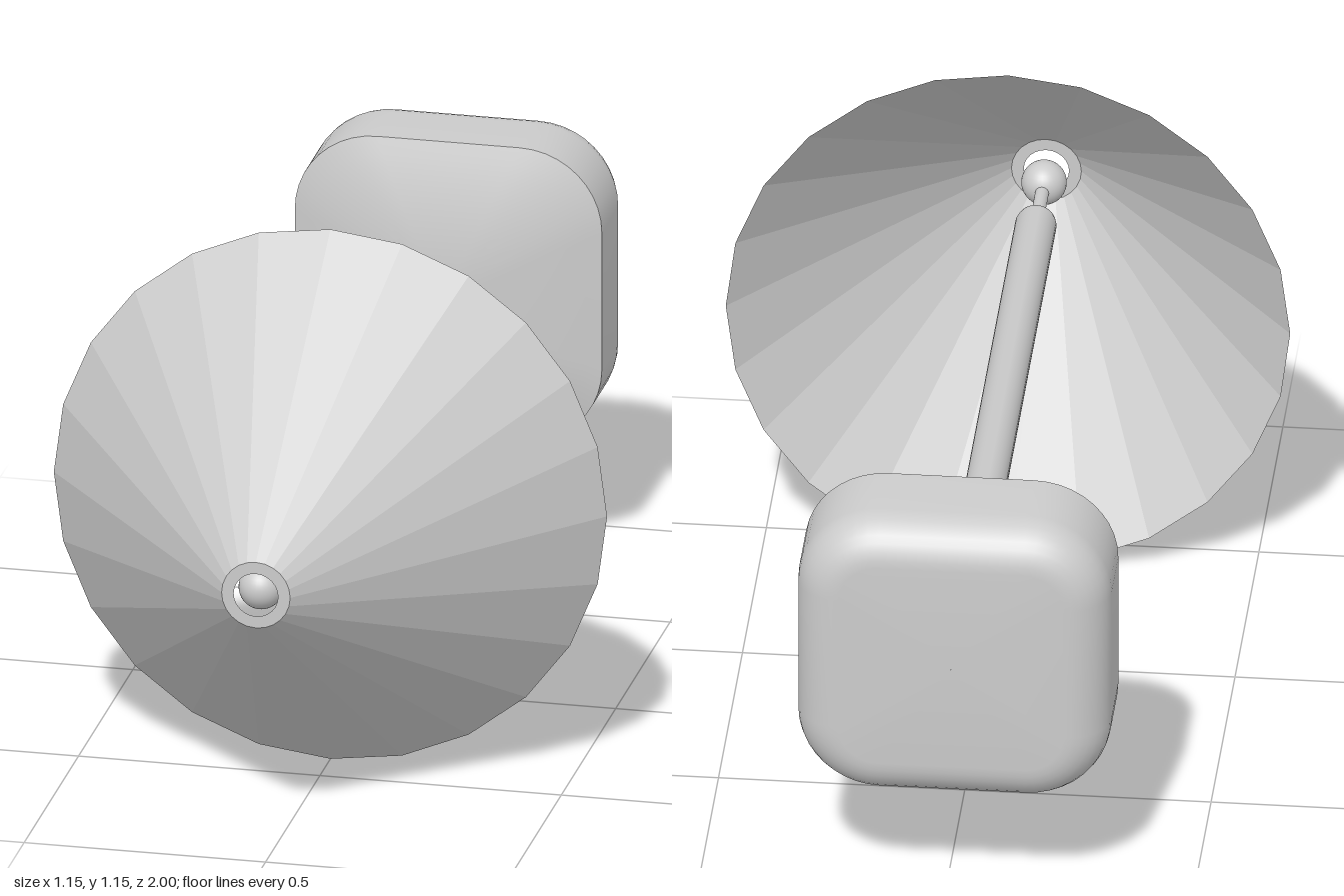
import * as THREE from 'three';
import { toCreasedNormals } from 'three/addons/utils/BufferGeometryUtils.js';

const CX = -0.02, CY = 0.578; // axis of the stem

// Outline of a square with rounded corners, counter-clockwise
function roundedSquare(half, r, steps = 10) {
  const pts = [];
  for (let c = 0; c < 4; c++) {
    const mid = Math.PI / 4 + c * Math.PI / 2;
    const ox = Math.sign(Math.cos(mid)) * (half - r), oy = Math.sign(Math.sin(mid)) * (half - r);
    for (let i = 0; i <= steps; i++) {
      const a = (c + i / steps) * Math.PI / 2;
      pts.push([ox + r * Math.cos(a), oy + r * Math.sin(a)]);
    }
  }
  return pts;
}

// Skin a list of rings ordered back to front
function loft(rings) {
  const pos = [], idx = [], n = rings[0].pts.length;
  for (const { pts, z } of rings) for (const [x, y] of pts) pos.push(x, y, z);
  for (let r = 0; r < rings.length - 1; r++) {
    for (let i = 0; i < n; i++) {
      const j = (i + 1) % n, a = r * n + i, b = r * n + j;
      idx.push(a, b, b + n, a, b + n, a + n);
    }
  }
  const g = new THREE.BufferGeometry();
  g.setAttribute('position', new THREE.Float32BufferAttribute(pos, 3));
  g.setIndex(idx);
  return toCreasedNormals(g, 0.6);
}

// Wall base: flat back, rounded back edge, straight sides, shallow domed front
function baseGeometry() {
  const half = 0.318, corner = 0.17, fillet = 0.09, rim = -0.77, dome = 0.055;
  const scaled = (pts, s) => pts.map(([x, y]) => [x * s, y * s]);
  const rings = [{ pts: scaled(roundedSquare(half - fillet, corner - fillet), 0.001), z: -1 }];
  for (let i = 0; i <= 8; i++) {
    const a = i / 8 * Math.PI / 2, inset = fillet * (1 - Math.sin(a));
    rings.push({ pts: roundedSquare(half - inset, corner - inset), z: -1 + fillet * (1 - Math.cos(a)) });
  }
  const outer = roundedSquare(half, corner);
  for (let i = 0; i <= 10; i++) {
    const t = Math.max(1 - i / 10, 0.001);
    rings.push({ pts: scaled(outer, t), z: rim + dome * (1 - t * t) });
  }
  return loft(rings);
}

export function createModel() {
  const group = new THREE.Group();
  const grey = new THREE.MeshStandardMaterial({ color: 0xcccccc });
  const faceted = new THREE.MeshStandardMaterial({ color: 0xcccccc, flatShading: true, side: THREE.DoubleSide });
  const add = (name, geometry, material, x = CX, y = CY, z = 0) => {
    const mesh = new THREE.Mesh(geometry, material);
    mesh.name = name;
    mesh.position.set(x, y, z);
    group.add(mesh);
  };

  add('wallBase', baseGeometry(), grey);

  // Stem with a flared foot and a softened tip
  const profile = [
    [0.065, -0.722], [0.054, -0.713], [0.046, -0.7], [0.042, -0.68], [0.042, 0.78],
    [0.039, 0.792], [0.032, 0.8], [0, 0.8],
  ].map(([r, z]) => new THREE.Vector2(r, z));
  add('stem', toCreasedNormals(new THREE.LatheGeometry(profile, 32).rotateX(Math.PI / 2), 0.75), grey);

  // Thin neck and ball at the end of the stem
  add('neck', new THREE.CylinderGeometry(0.014, 0.014, 0.15, 16).rotateX(Math.PI / 2), grey, CX, CY, 0.865);
  add('bulb', new THREE.SphereGeometry(0.046, 32, 20), grey, CX, CY, 0.95);

  // Open faceted shade; its narrow end is shifted onto the stem axis
  const rimY = 0.575;
  const shade = new THREE.CylinderGeometry(0.071, 0.573, 0.597, 24, 1, true).rotateX(Math.PI / 2);
  const p = shade.attributes.position;
  for (let i = 0; i < p.count; i++) {
    if (p.getZ(i) > 0) p.setXY(i, p.getX(i) + CX, p.getY(i) + CY - rimY);
  }
  add('shade', shade, faceted, 0, rimY, 0.7015);
  add('shadeCollar', new THREE.RingGeometry(0.046, 0.071, 24), faceted, CX, CY, 1);

  return group;
}
